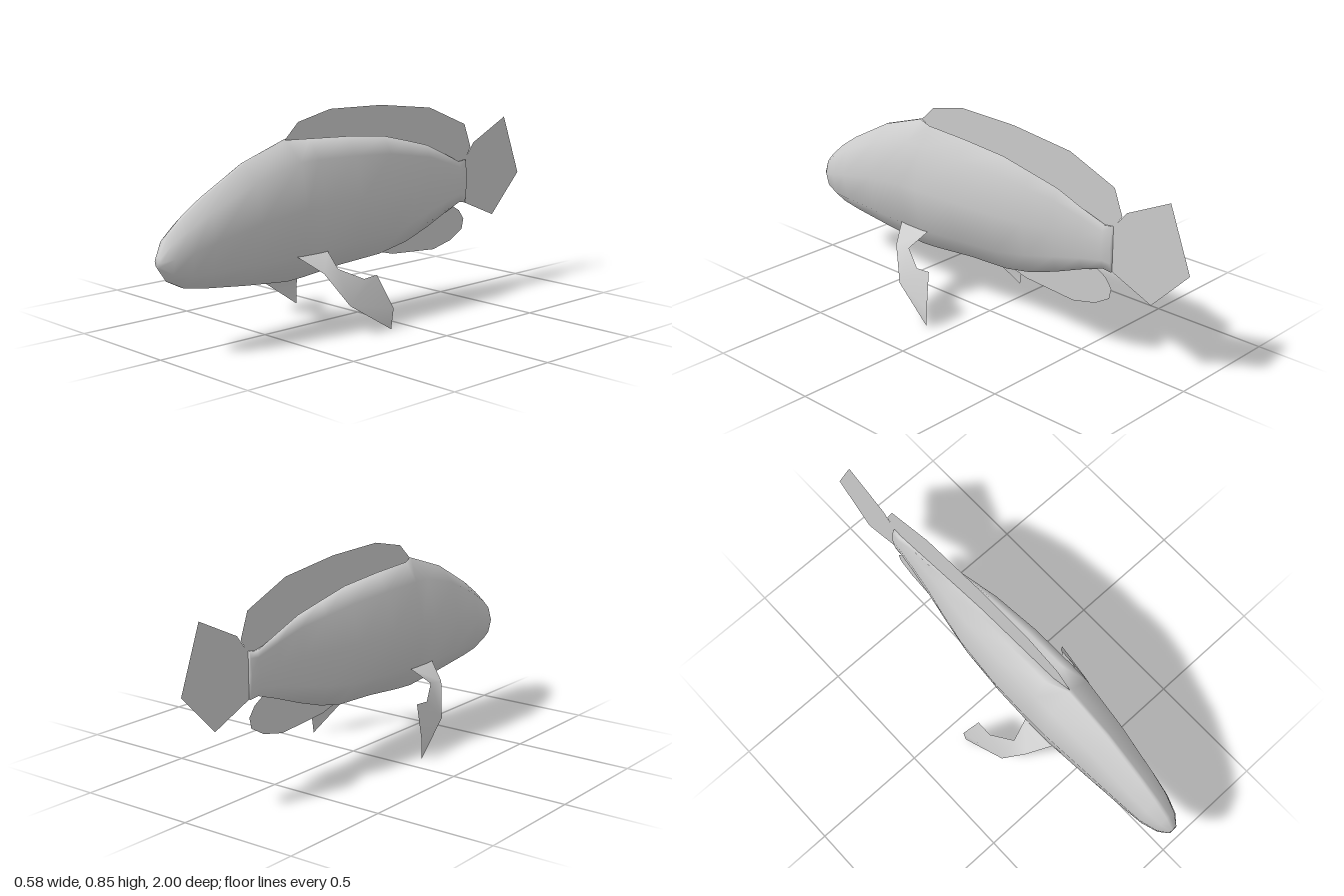
import * as THREE from 'three';

const skin = new THREE.MeshStandardMaterial({ color: 0xcccccc, side: THREE.DoubleSide });
skin.name = 'pale grey';

function meshFrom(name, points, index) {
  const g = new THREE.BufferGeometry();
  g.setAttribute('position', new THREE.Float32BufferAttribute(points.flat(), 3));
  g.setIndex(index);
  g.computeVertexNormals();
  const m = new THREE.Mesh(g, skin);
  m.name = name;
  return m;
}

// Half cross-section, from the top centre round to the bottom centre.
// Grooves along the back and belly receive the fins.
function halfSection([z, top, bottom, w, rimTop, grooveTop, rimLow, grooveLow]) {
  const h = top - bottom;
  return [
    [0, top - grooveTop, z],
    [rimTop, top, z],
    [Math.max(w * 0.71, rimTop * 1.1), top - h * 0.14, z],
    [w, bottom + h * 0.54, z],
    [Math.max(w * 0.76, rimLow * 1.1), bottom + h * 0.2, z],
    [rimLow, bottom, z],
    [0, bottom + grooveLow, z],
  ];
}

function createBody() {
  // z, top, bottom, half width, back rim and groove depth, belly rim and groove depth
  const stations = [
    [1.0, 0.39, 0.345, 0.02, 0.005, 0, 0.005, 0],
    [0.96, 0.46, 0.29, 0.052, 0.008, 0, 0.008, 0],
    [0.89, 0.52, 0.255, 0.076, 0.008, 0, 0.008, 0],
    [0.8, 0.58, 0.24, 0.09, 0.008, 0, 0.008, 0],
    [0.6, 0.688, 0.217, 0.114, 0.008, 0, 0.008, 0],
    [0.39, 0.757, 0.198, 0.135, 0.008, 0, 0.008, 0],
    [0.3, 0.758, 0.203, 0.137, 0.045, 0.05, 0.008, 0],
    [0.1, 0.748, 0.222, 0.135, 0.045, 0.06, 0.008, 0],
    [-0.11, 0.728, 0.235, 0.115, 0.04, 0.06, 0.015, 0.01],
    [-0.25, 0.695, 0.268, 0.088, 0.034, 0.055, 0.03, 0.05],
    [-0.38, 0.662, 0.31, 0.06, 0.026, 0.05, 0.026, 0.05],
    [-0.5, 0.61, 0.355, 0.038, 0.018, 0.025, 0.018, 0.025],
    [-0.6, 0.565, 0.388, 0.023, 0.01, 0, 0.01, 0],
    [-0.64, 0.57, 0.382, 0.018, 0.008, 0, 0.008, 0],
  ];
  const points = [], index = [], n = 12;
  for (const s of stations) {
    const half = halfSection(s);
    points.push(...half, ...half.slice(1, -1).reverse().map(([x, y, z]) => [-x, y, z]));
  }
  for (let i = 0; i < stations.length - 1; i++) {
    for (let j = 0; j < n; j++) {
      const a = i * n + j, b = i * n + (j + 1) % n;
      index.push(a, b, a + n, b, b + n, a + n);
    }
  }
  // Snout and tail stem caps
  const last = (stations.length - 1) * n;
  points.push([0, 0.367, 1.0], [0, 0.476, -0.64]);
  for (let j = 0; j < n; j++) {
    const k = (j + 1) % n;
    index.push(points.length - 2, k, j, points.length - 1, last + j, last + k);
  }
  // Wind faces outward
  for (let i = 0; i < index.length; i += 3) {
    const [a, b, c] = [0, 1, 2].map((k) => new THREE.Vector3(...points[index[i + k]]));
    const t = i / 3;
    if (t === 4) {
      const normal = b.clone().sub(a).cross(c.clone().sub(a));
      if (normal.x < 0) for (let q = 0; q < index.length; q += 3) [index[q], index[q + 1]] = [index[q + 1], index[q]];
      break;
    }
  }
  return meshFrom('body', points, index);
}

// Flat fin on the centre plane, outlined by [z, y] points
function flatFin(name, outline) {
  const shape = new THREE.Shape(outline.map(([z, y]) => new THREE.Vector2(-z, y)));
  const g = new THREE.ShapeGeometry(shape);
  g.rotateY(Math.PI / 2);
  const m = new THREE.Mesh(g, skin);
  m.name = name;
  return m;
}

// Curved side fin, bent downward in three panels
function sideFin(name, side) {
  const points = [
    [0.1, 0.317, 0.42], [0.1, 0.317, 0.26],
    [0.19, 0.255, 0.36], [0.188, 0.262, 0.285],
    [0.25, 0.125, 0.28], [0.235, 0.215, 0.19],
    [0.235, 0.22, 0.12], [0.288, 0.088, 0.08], [0.283, 0.003, 0.088],
  ].map(([x, y, z]) => [x * side, y, z]);
  const index = [0, 2, 1, 1, 2, 3, 2, 4, 3, 3, 4, 5, 4, 6, 5, 4, 7, 6, 4, 8, 7];
  if (side < 0) index.reverse();
  return meshFrom(name, points, index);
}

export function createModel() {
  const fish = new THREE.Group();
  fish.name = 'fish';
  fish.add(
    createBody(),
    flatFin('dorsalFin', [
      [0.39, 0.755], [0.32, 0.82], [0.15, 0.857], [-0.13, 0.85], [-0.42, 0.815],
      [-0.64, 0.725], [-0.68, 0.62], [-0.64, 0.562], [-0.5, 0.57], [-0.1, 0.65], [0.3, 0.69],
    ]),
    flatFin('analFin', [
      [-0.08, 0.25], [-0.2, 0.218], [-0.45, 0.2], [-0.56, 0.225], [-0.63, 0.265],
      [-0.64, 0.31], [-0.61, 0.35], [-0.55, 0.385], [-0.48, 0.4], [-0.25, 0.34],
    ]),
    flatFin('tailFin', [
      [-0.61, 0.39], [-0.64, 0.382], [-0.83, 0.303], [-1.0, 0.475],
      [-0.9, 0.735], [-0.7, 0.64], [-0.64, 0.565], [-0.61, 0.56],
    ]),
    sideFin('leftPectoralFin', 1),
    sideFin('rightPectoralFin', -1),
  );
  return fish;
}
